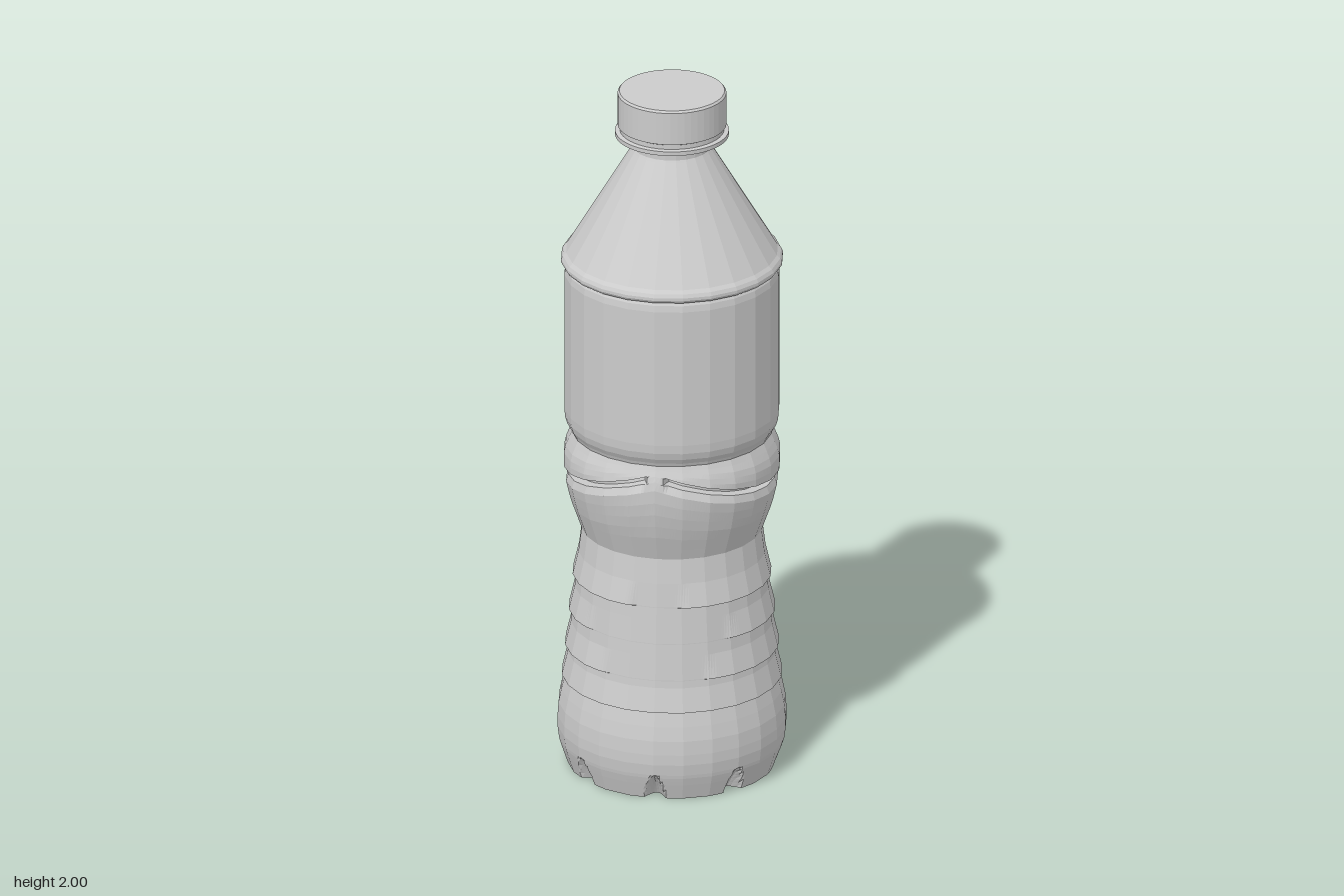
import * as THREE from 'three';

const SIDES = 24;    // visible facets around the bottle
const COLUMNS = 240; // finer columns so notches and grooves can be cut
const material = new THREE.MeshStandardMaterial({ color: 0xcccccc, flatShading: true, side: THREE.DoubleSide });

// Scale that turns a circle into a flat-sided polygon
function facet(a) {
  const step = (2 * Math.PI) / SIDES;
  return Math.cos(step / 2) / Math.cos((a % step) - step / 2);
}

// Skin around the y axis; profile(angle) gives [radius, y] pairs, bottom to top
function skin(name, profile, columns = COLUMNS, faceted = true) {
  const pos = [], index = [];
  let rows = 0;
  for (let i = 0; i <= columns; i++) {
    const a = ((i % columns) / columns) * Math.PI * 2;
    const points = profile(a);
    rows = points.length;
    for (const [radius, y] of points) {
      const r = faceted ? radius * facet(a) : radius;
      pos.push(r * Math.sin(a), y, r * Math.cos(a));
    }
  }
  for (let i = 0; i < columns; i++) {
    for (let j = 0; j < rows - 1; j++) {
      const p = i * rows + j, q = p + rows;
      index.push(p, q, q + 1, p, q + 1, p + 1);
    }
  }
  const geometry = new THREE.BufferGeometry();
  geometry.setAttribute('position', new THREE.Float32BufferAttribute(pos, 3));
  geometry.setIndex(index);
  geometry.computeVertexNormals();
  const mesh = new THREE.Mesh(geometry, material);
  mesh.name = name;
  return mesh;
}

// Foot with eight rounded notches cut into its lower edge
function baseProfile(a) {
  const outline = [[0.289, 0], [0.294, 0.015], [0.299, 0.03], [0.304, 0.045], [0.308, 0.058],
    [0.311, 0.068], [0.313, 0.078], [0.317, 0.11], [0.317, 0.14], [0.314, 0.18], [0.306, 0.22], [0.296, 0.26]];
  const pitch = Math.PI / 4;
  const away = Math.abs(a - Math.round(a / pitch) * pitch) * 0.3;
  const points = outline.map(([r, y]) => {
    const rise = Math.max(0, 1 - y / 0.076);
    const width = 0.032 * Math.sqrt(rise);
    const cut = away < width ? 0.04 * Math.sqrt(rise) * (1 - (away / width) ** 2) : 0;
    return [r - cut, y];
  });
  return [[0, 0], ...points];
}

// Tapered grip with overhanging steps that fade out at the front and back
function gripProfile(a) {
  const side = Math.abs(Math.sin(a));
  const radius = (y) => 0.296 - (y - 0.26) * 0.1;
  const points = [];
  for (const [y, start] of [[0.26, -1], [0.35, 0.5], [0.455, 0.7], [0.56, 0.26]]) {
    const fade = THREE.MathUtils.smoothstep(side, start - 0.06, start + 0.08);
    points.push([radius(y), y], [radius(y) + 0.009 * fade, y + 0.002], [radius(y + 0.07), y + 0.07]);
  }
  points.push([0.25, 0.7]);
  return points;
}

// Bulging waist with a slanted groove on each side
function waistProfile(a) {
  const x = 0.295 * Math.abs(Math.sin(a));
  const depth = THREE.MathUtils.smoothstep(x, 0.02, 0.04);
  const low = 0.925 - 0.29 * x, high = 0.968 - 0.29 * x;
  const curve = [[0.25, 0.7], [0.264, 0.74], [0.28, 0.785], [0.293, 0.84], [0.299, 0.88],
    [0.3, 0.925], [0.293, 0.955], [0.282, 0.978], [0.277, 0.99]];
  const radius = (y) => {
    let k = 1;
    while (k < curve.length - 1 && y > curve[k][1]) k++;
    const [r0, y0] = curve[k - 1], [r1, y1] = curve[k];
    return r0 + ((r1 - r0) * (y - y0)) / (y1 - y0);
  };
  const points = [];
  for (let k = 0; k < 7; k++) {
    const y = THREE.MathUtils.lerp(0.7, low, k / 6);
    points.push([radius(y), y]);
  }
  for (const [t, cut] of [[0.5, 0.01], [0.55, 0.038], [0.9, 0.038]]) {
    const y = THREE.MathUtils.lerp(low, high, t);
    points.push([radius(y) - cut * depth, y]);
  }
  for (let k = 0; k < 6; k++) {
    const y = THREE.MathUtils.lerp(high, 0.99, k / 5);
    points.push([radius(y), y]);
  }
  return points;
}

export function createModel() {
  const group = new THREE.Group();
  group.name = 'bottle';
  group.add(
    skin('base', baseProfile),
    skin('grip', gripProfile),
    skin('waist', waistProfile),
    // Straight label panel with rounded ends
    skin('labelPanel', () => [[0.277, 0.99], [0.281, 1.0], [0.29, 1.015], [0.296, 1.035], [0.298, 1.06],
      [0.298, 1.46], [0.295, 1.478], [0.29, 1.487]], SIDES),
    // Bead around the foot of the shoulder
    skin('shoulderRing', () => [[0.29, 1.487], [0.302, 1.49], [0.307, 1.498], [0.307, 1.506],
      [0.302, 1.516], [0.293, 1.525]], SIDES),
    skin('shoulder', () => [[0.293, 1.525], [0.112, 1.828]], SIDES),
    skin('neck', () => [[0.112, 1.828], [0.108, 1.835], [0.108, 1.875]], SIDES),
    // Collar and screw cap
    skin('collar', () => [[0, 1.87], [0.157, 1.87], [0.157, 1.882], [0.144, 1.884], [0.144, 1.897]], 48, false),
    skin('cap', () => [[0.144, 1.897], [0.15, 1.9], [0.15, 1.994], [0.145, 2], [0, 2]], 48, false),
  );
  return group;
}
